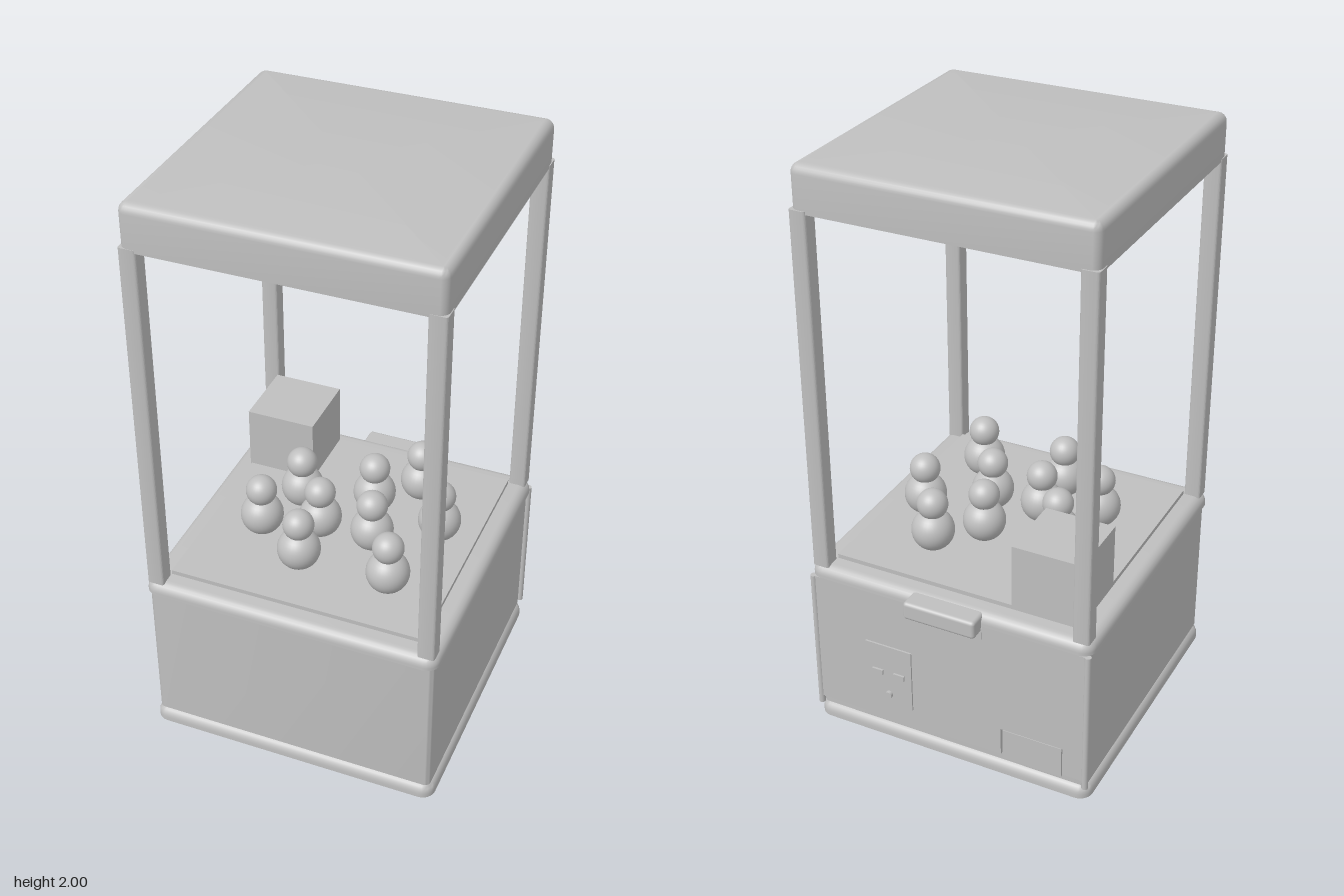
import * as THREE from 'three';
import { toCreasedNormals } from 'three/addons/utils/BufferGeometryUtils.js';
import { RoundedBoxGeometry } from 'three/addons/geometries/RoundedBoxGeometry.js';

const grey = new THREE.MeshStandardMaterial({ color: 0xbfbfbf });
grey.name = 'plain grey';

function add(parent, name, geometry, x = 0, y = 0, z = 0) {
  const mesh = new THREE.Mesh(geometry, grey);
  mesh.name = name;
  mesh.position.set(x, y, z);
  parent.add(mesh);
  return mesh;
}

// Box given by its limits
function block(parent, name, x0, x1, y0, y1, z0, z1) {
  return add(parent, name, new THREE.BoxGeometry(x1 - x0, y1 - y0, z1 - z0),
    (x0 + x1) / 2, (y0 + y1) / 2, (z0 + z1) / 2);
}

// Rounded-corner slab standing on y = 0, with its top edge rounded by `round`
function slab(width, depth, height, corner, round = 0) {
  const rings = [[0, 0]];
  const steps = round ? 6 : 0;
  for (let i = 0; i <= steps; i++) {
    const a = round ? (i / steps) * Math.PI / 2 : 0;
    rings.push([round * (1 - Math.cos(a)), height - round + round * Math.sin(a)]);
  }
  const pos = [], idx = [], arc = 6, n = 4 * (arc + 1);
  for (const [inset, y] of rings) {
    const r = Math.max(corner - inset, 0.002);
    for (let c = 0; c < 4; c++) {
      const sx = c === 0 || c === 3 ? 1 : -1, sz = c < 2 ? 1 : -1;
      for (let k = 0; k <= arc; k++) {
        const a = (c + k / arc) * Math.PI / 2;
        pos.push(sx * (width / 2 - inset - r) + r * Math.cos(a), y,
          sz * (depth / 2 - inset - r) + r * Math.sin(a));
      }
    }
  }
  for (let j = 0; j < rings.length - 1; j++) {
    for (let i = 0; i < n; i++) {
      const a = j * n + i, b = j * n + (i + 1) % n;
      idx.push(a, a + n, b, b, a + n, b + n);
    }
  }
  // Flat caps
  const last = (rings.length - 1) * n, centre = pos.length / 3;
  pos.push(0, 0, 0, 0, height, 0);
  for (let i = 0; i < n; i++) {
    const k = (i + 1) % n;
    idx.push(centre, i, k, centre + 1, last + k, last + i);
  }
  const g = new THREE.BufferGeometry();
  g.setAttribute('position', new THREE.Float32BufferAttribute(pos, 3));
  g.setIndex(idx);
  return toCreasedNormals(g, 0.6);
}

export function createModel() {
  const model = new THREE.Group();
  model.name = 'clawMachine';
  const midZ = 0.025;

  // Cabinet
  add(model, 'plinth', slab(1.01, 1.01, 0.05, 0.045, 0.035), 0, 0, midZ);
  add(model, 'cabinetBody', slab(0.985, 0.985, 0.53, 0.02), 0, 0.05, midZ);
  add(model, 'cabinetLip', slab(1.01, 1.01, 0.045, 0.045, 0.035), 0, 0.575, midZ);
  block(model, 'playfieldFloor', -0.435, 0.435, 0.61, 0.635, -0.41, 0.46);

  // Corner posts and roof
  for (const x of [-0.465, 0.465]) {
    for (const z of [-0.443, 0.49]) {
      add(model, 'cornerPost', slab(0.057, 0.057, 1.245, 0.008), x, 0.615, z);
    }
  }
  add(model, 'roof', slab(0.982, 0.984, 0.15, 0.03, 0.03), 0, 1.85, midZ);

  // Prize chute
  block(model, 'prizeChute', -0.44, -0.2, 0.63, 0.855, -0.41, -0.165);

  // Toys, each a body and a head
  const toys = [
    [-0.25, 0.15], [-0.185, -0.04], [-0.065, 0.09], [-0.065, 0.27], [0.055, -0.1],
    [0.12, 0.09], [0.18, -0.225], [0.245, 0.27], [0.31, -0.04],
  ];
  const bodyGeometry = new THREE.SphereGeometry(0.072, 32, 20);
  const headGeometry = new THREE.SphereGeometry(0.052, 32, 20);
  for (const [x, z] of toys) {
    const toy = new THREE.Group();
    toy.name = 'toy';
    toy.position.set(x, 0, z);
    add(toy, 'toyBody', bodyGeometry, 0, 0.7, 0);
    add(toy, 'toyHead', headGeometry, 0, 0.797, 0);
    model.add(toy);
  }

  // Back service panel with a notch for the prize door
  const outline = new THREE.Shape([
    [-0.485, 0.08], [-0.415, 0.08], [-0.415, 0.185], [-0.195, 0.185],
    [-0.195, 0.08], [0.485, 0.08], [0.485, 0.575], [-0.485, 0.575],
  ].map(([x, y]) => new THREE.Vector2(x, y)));
  add(model, 'backPanel',
    new THREE.ExtrudeGeometry(outline, { depth: 0.016, bevelEnabled: false }), 0, 0, -0.48);
  block(model, 'prizeDoor', -0.41, -0.2, 0.065, 0.18, -0.477, -0.46);
  for (const x of [-0.493, 0.493]) {
    add(model, 'panelRod', new THREE.CylinderGeometry(0.011, 0.011, 0.525, 16), x, 0.3125, -0.474);
  }

  // Pull handle
  add(model, 'handle', new RoundedBoxGeometry(0.255, 0.064, 0.08, 3, 0.012), 0, 0.584, -0.49);
  block(model, 'handlePlate', -0.13, 0.13, 0.525, 0.57, -0.483, -0.475);

  // Coin panel
  block(model, 'coinPlate', 0.13, 0.3, 0.145, 0.38, -0.486, -0.475);
  for (const x of [0.175, 0.255]) {
    block(model, 'coinSlot', x - 0.02, x + 0.02, 0.263, 0.281, -0.493, -0.48);
  }
  const knob = add(model, 'coinKnob', new THREE.CylinderGeometry(0.013, 0.013, 0.02, 20), 0.215, 0.187, -0.488);
  knob.rotation.x = Math.PI / 2;

  return model;
}
